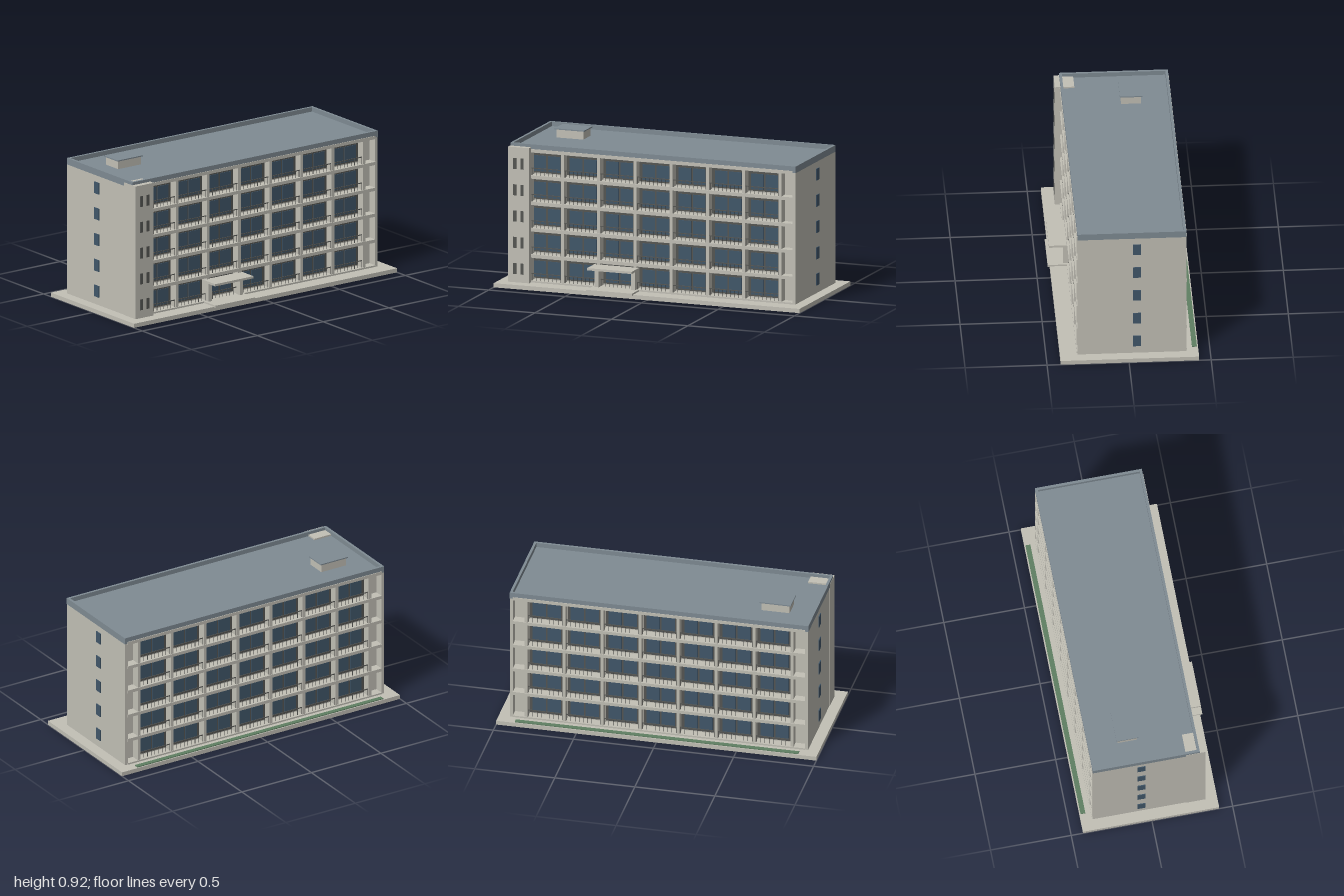
import * as THREE from 'three';

const mat = (name, color) => {
  const m = new THREE.MeshStandardMaterial({ color });
  m.name = name;
  return m;
};

export function createModel() {
  const concrete = mat('concrete', 0xc2c0b6);
  const roofing = mat('slateRoof', 0x7f8b93);
  const glass = mat('blueGlass', 0x41576a);
  const frame = mat('darkFrame', 0x555653);
  const green = mat('hedgeGreen', 0x5f7f62);

  const model = new THREE.Group();
  model.name = 'apartmentBlock';

  // box given by its minimum and maximum on each axis
  const box = (name, material, x0, x1, y0, y1, z0, z1, parent = model) => {
    const mesh = new THREE.Mesh(new THREE.BoxGeometry(x1 - x0, y1 - y0, z1 - z0), material);
    mesh.position.set((x0 + x1) / 2, (y0 + y1) / 2, (z0 + z1) / 2);
    mesh.name = name;
    parent.add(mesh);
    return mesh;
  };

  const FLOORS = 5, PITCH = 0.164, GROUND = 0.026, TOP = 0.845;
  const FRONT = 0.31, BACK = -0.353, DEPTH = 0.055;
  const BAYS = 7, RIB0 = -0.83, BAY = 1.66 / BAYS;

  // ground plate, entrance landing and planting strip
  box('basePlate', concrete, -1, 1, 0, GROUND, -0.427, 0.417);
  box('entranceLanding', concrete, -0.39, -0.09, GROUND - 0.005, 0.036, 0.29, 0.43);
  box('plantingStrip', green, -0.885, 0.885, GROUND, 0.031, -0.42, -0.39);

  // solid core and end walls
  box('core', concrete, -0.915, 0.915, GROUND, TOP, BACK + DEPTH, FRONT - DEPTH);
  for (const s of [-1, 1]) {
    const a = s * 0.912, b = s * 0.931;
    box('endWall', concrete, Math.min(a, b), Math.max(a, b), GROUND, TOP, BACK, FRONT);
  }

  // one recessed window with its frame, panes and balcony rail
  const windowBay = (parent, x0, x1, k, zWall, dir, zFace) => {
    const y0 = GROUND + 0.019 + k * PITCH, y1 = y0 + 0.12;
    const plate = (name, m, a, b, c, d, z, t) =>
      box(name, m, a, b, c, d, Math.min(z, z + dir * t), Math.max(z, z + dir * t), parent);
    plate('windowFrame', frame, x0 + 0.012, x1 - 0.012, y0, y1, zWall, 0.006);
    const mid = (x0 + x1) / 2;
    for (const s of [-1, 1]) {
      const c = mid + s * 0.047;
      plate('windowPane', glass, c - 0.041, c + 0.041, y0 + 0.01, y1 - 0.012, zWall + dir * 0.004, 0.006);
    }
    // balcony rail
    const zr = zFace - dir * 0.012;
    plate('balconyRail', frame, x0 + 0.01, x1 - 0.01, y0 + 0.032, y0 + 0.037, zr, 0.005);
    for (let i = 0; i <= 8; i++) {
      const x = x0 + 0.014 + (x1 - x0 - 0.028) * i / 8;
      plate('baluster', frame, x - 0.001, x + 0.001, y0 - 0.009, y0 + 0.032, zr, 0.003);
    }
  };

  // grid of ribs, slabs and windows on both long sides
  for (const [name, dir, zFace] of [['frontFacade', 1, FRONT], ['backFacade', -1, BACK]]) {
    const facade = new THREE.Group();
    facade.name = name;
    model.add(facade);
    const zWall = zFace - dir * DEPTH;
    const lo = Math.min(zWall, zFace), hi = Math.max(zWall, zFace);
    for (let k = 0; k <= FLOORS; k++) {
      const y = GROUND + k * PITCH, out = zFace + dir * 0.004;
      box('floorSlab', concrete, -0.913, 0.913, y - 0.01, y + 0.01,
        Math.min(zWall, out), Math.max(zWall, out), facade);
    }
    for (let i = 0; i <= BAYS; i++) {
      const x = RIB0 + i * BAY;
      box('rib', concrete, x - 0.01, x + 0.01, GROUND, TOP, lo, hi, facade);
      if (i < BAYS) for (let k = 0; k < FLOORS; k++) {
        windowBay(facade, x, x + BAY, k, zWall, dir, zFace);
      }
    }
  }

  // narrow windows on the end walls
  for (let k = 0; k < FLOORS; k++) {
    const y = 0.075 + k * 0.1635;
    for (const s of [-1, 1]) {
      box('endWindow', glass, s * 0.932 - 0.004, s * 0.932 + 0.004, y, y + 0.073, -0.076, -0.028);
    }
  }

  // stair tower with slit windows
  box('stairTower', concrete, -0.934, -0.797, GROUND, 0.867, 0.225, 0.344);
  for (let k = 0; k < FLOORS; k++) {
    const y = 0.077 + k * 0.1635;
    for (const x of [-0.89, -0.842]) {
      box('slitWindow', frame, x - 0.01, x + 0.01, y, y + 0.068, 0.34, 0.347);
    }
  }

  // entrance canopy on two posts
  box('canopy', concrete, -0.387, -0.095, 0.156, 0.17, 0.3, 0.422);
  for (const x of [-0.358, -0.122]) {
    box('canopyPost', concrete, x - 0.013, x + 0.013, GROUND, 0.157, 0.3, 0.335);
  }

  // roof deck with parapet
  box('roofDeck', roofing, -0.928, 0.928, 0.843, 0.857, BACK + 0.003, FRONT - 0.003);
  for (const s of [-1, 1]) {
    box('sideParapet', roofing, s * 0.925 - 0.008, s * 0.925 + 0.008, 0.844, 0.885, BACK, FRONT);
  }
  box('frontParapet', roofing, -0.917, 0.917, 0.844, 0.885, FRONT - 0.016, FRONT);
  box('backParapet', roofing, -0.917, 0.917, 0.844, 0.885, BACK, BACK + 0.016);

  // rooftop hut
  box('roofHut', concrete, -0.773, -0.597, 0.85, 0.909, -0.169, -0.048);
  box('roofHutCap', roofing, -0.782, -0.588, 0.908, 0.915, -0.177, -0.04);

  return model;
}
